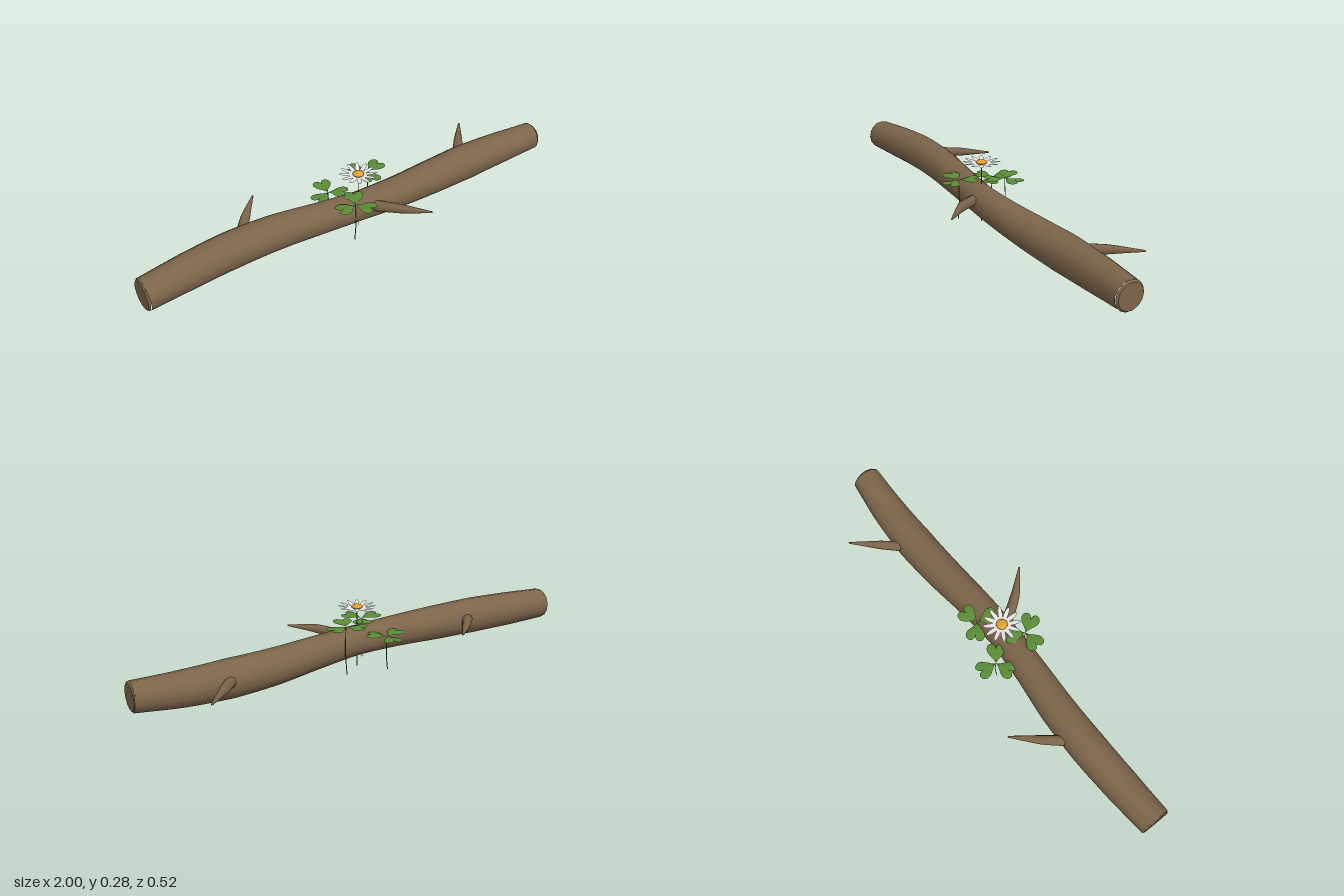
import * as THREE from 'three';

const mat = (name, color, side = THREE.FrontSide) => {
  const m = new THREE.MeshStandardMaterial({ color, side });
  m.name = name;
  return m;
};

// Tube along points [x, y, z, radius] with a radius that varies along its length
function taperedTube(points, rings, sides) {
  const curve = new THREE.CatmullRomCurve3(points.map(p => new THREE.Vector3(p[0], p[1], p[2])));
  const geo = new THREE.TubeGeometry(curve, rings, 1, sides, false);
  const pos = geo.attributes.position, nor = geo.attributes.normal;
  const v = new THREE.Vector3(), n = new THREE.Vector3();
  for (let i = 0; i < pos.count; i++) {
    const u = Math.floor(i / (sides + 1)) / rings;
    const f = u * (points.length - 1), k = Math.min(Math.floor(f), points.length - 2);
    const r = THREE.MathUtils.lerp(points[k][3], points[k + 1][3], f - k);
    n.fromBufferAttribute(nor, i);
    v.copy(curve.getPointAt(u)).addScaledVector(n, r);
    pos.setXYZ(i, v.x, v.y, v.z);
  }
  return geo;
}

// Fan-shaped blade: outline(t) gives [across, along, height], centre is [along, height]
function blade(outline, centre, segments) {
  const geo = new THREE.CircleGeometry(1, segments);
  const pos = geo.attributes.position;
  pos.setXYZ(0, 0, centre[0], centre[1]);
  for (let i = 1; i < pos.count; i++) {
    pos.setXYZ(i, ...outline(((i - 1) / segments) * Math.PI * 2));
  }
  geo.rotateX(-Math.PI / 2);
  geo.computeVertexNormals();
  return geo;
}

export function createModel() {
  const root = new THREE.Group();
  root.name = 'mossyLogWithFlowers';
  const bark = mat('bark', 0x7d654a);
  const leafGreen = mat('leafGreen', 0x5a8c36, THREE.DoubleSide);
  const stemGreen = mat('stemGreen', 0x47692f);
  const white = mat('petalWhite', 0xf0f0ee, THREE.DoubleSide);
  const yellow = mat('flowerYellow', 0xe0a030);
  const add = (parent, name, geo, material) => {
    const m = new THREE.Mesh(geo, material);
    m.name = name;
    parent.add(m);
    return m;
  };

  // Gently winding log
  const path = [
    [-0.994, 0.105, -0.003, 0.068], [-0.8, 0.117, -0.015, 0.075], [-0.6, 0.127, -0.022, 0.078],
    [-0.4, 0.128, -0.018, 0.075], [-0.2, 0.122, 0, 0.068], [0, 0.112, 0.012, 0.064],
    [0.2, 0.098, 0.006, 0.07], [0.4, 0.086, -0.01, 0.077], [0.6, 0.083, -0.02, 0.081],
    [0.8, 0.084, -0.018, 0.074], [0.994, 0.091, -0.004, 0.063],
  ];
  add(root, 'log', taperedTube(path, 40, 14), bark);

  // Bevelled log ends
  for (const [p, s] of [[path[0], -1], [path[path.length - 1], 1]]) {
    const cap = add(root, 'logEnd', new THREE.CylinderGeometry(p[3] - 0.007, p[3], 0.008, 14), bark);
    cap.rotation.z = -s * Math.PI / 2;
    cap.position.set(p[0] + s * 0.002, p[1], p[2]);
  }

  // Broken twigs: root, middle and tip
  const twigs = [
    [[-0.545, 0.138, -0.05], [-0.46, 0.147, -0.155], [-0.368, 0.154, -0.255]],
    [[0.59, 0.095, -0.05], [0.68, 0.104, -0.155], [0.768, 0.109, -0.255]],
    [[0.035, 0.122, 0.05], [0.1, 0.137, 0.148], [0.198, 0.139, 0.253]],
  ];
  for (const t of twigs) {
    const pts = t.map((p, i) => [...p, [0.025, 0.02, 0.004][i]]);
    add(root, 'twig', taperedTube(pts, 10, 8), bark);
    const tip = add(root, 'twigTip', new THREE.SphereGeometry(0.004, 8, 6), bark);
    tip.position.set(...t[2]);
  }

  // Clovers: thin stem and three heart-shaped leaflets
  const heart = blade(t => {
    const x = 16 * Math.sin(-t) ** 3;
    const y = 13 * Math.cos(t) - 5 * Math.cos(2 * t) - 2 * Math.cos(3 * t) - Math.cos(4 * t);
    return [x * 0.0025, (y + 17) * 0.003, 0.004 * (y + 17) / 29];
  }, [0.05, 0.012], 28);
  const clovers = [
    [-0.088, 0.151, -0.1, 82],
    [0.088, 0.214, -0.06, 14],
    [-0.066, 0.182, 0.075, 62],
  ];
  for (const [x, y, z, angle] of clovers) {
    const clover = new THREE.Group();
    clover.name = 'clover';
    root.add(clover);
    add(clover, 'cloverStem', taperedTube([
      [x - 0.004, 0, z, 0.002], [x + 0.004, y * 0.5, z - 0.002, 0.002], [x, y, z, 0.0015],
    ], 8, 6), stemGreen);
    for (let i = 0; i < 3; i++) {
      const leaf = add(clover, 'cloverLeaf', heart, leafGreen);
      leaf.position.set(x, y, z);
      leaf.rotation.y = THREE.MathUtils.degToRad(angle - 90 + i * 120);
    }
  }

  // Daisy: stem, ring of petals and domed centre
  const daisy = new THREE.Group();
  daisy.name = 'daisy';
  root.add(daisy);
  const stem = add(daisy, 'daisyStem', new THREE.CylinderGeometry(0.0015, 0.002, 0.265, 6), stemGreen);
  stem.position.y = 0.1325;
  const petal = blade(t => {
    const along = 0.044 + 0.036 * Math.sin(t);
    return [0.0095 * Math.cos(t), along, 0.012 * along / 0.08];
  }, [0.05, 0.005], 12);
  for (let i = 0; i < 12; i++) {
    const p = add(daisy, 'petal', petal, white);
    p.position.y = 0.26;
    p.rotation.y = (i / 12) * Math.PI * 2;
  }
  const centre = add(daisy, 'daisyCentre', new THREE.SphereGeometry(0.024, 16, 8), yellow);
  centre.scale.y = 0.38;
  centre.position.y = 0.269;
  return root;
}
